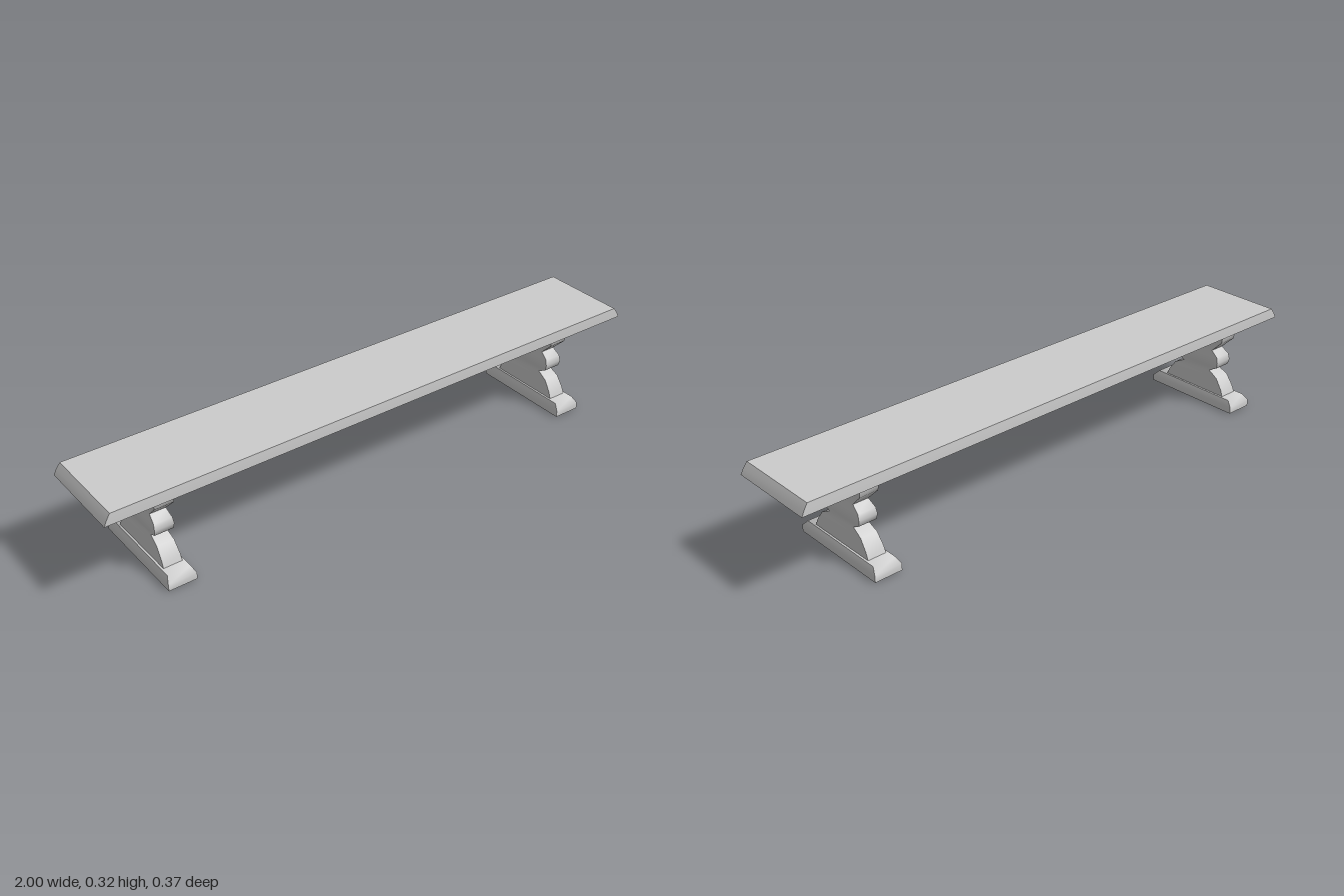
import * as THREE from 'three';
import { toCreasedNormals } from 'three/addons/utils/BufferGeometryUtils.js';

const material = new THREE.MeshStandardMaterial({ color: 0xcccccc });

// Stack of rectangular sections, each [y, half width x, half depth z], closed at both ends
function stack(name, sections, crease) {
  const pos = [], index = [];
  for (const [y, x, z] of sections) pos.push(-x, y, z, x, y, z, x, y, -z, -x, y, -z);
  for (let s = 0; s < sections.length - 1; s++) {
    for (let i = 0; i < 4; i++) {
      const a = s * 4 + i, b = s * 4 + (i + 1) % 4;
      index.push(a, b, b + 4, a, b + 4, a + 4);
    }
  }
  const t = (sections.length - 1) * 4;
  index.push(0, 2, 1, 0, 3, 2, t, t + 1, t + 2, t, t + 2, t + 3);
  const geometry = new THREE.BufferGeometry();
  geometry.setAttribute('position', new THREE.Float32BufferAttribute(pos, 3));
  geometry.setIndex(index);
  const mesh = new THREE.Mesh(toCreasedNormals(geometry, crease), material);
  mesh.name = name;
  return mesh;
}

// Trestle leg: bevelled foot with a waisted, bulging pedestal
function createLeg(name, x) {
  const leg = new THREE.Group();
  leg.name = name;
  leg.add(
    stack('foot', [
      [0, 0.048, 0.185], [0.023, 0.048, 0.185], [0.042, 0.039, 0.166],
    ], 0.9),
    stack('pedestal', [
      [0.042, 0.032, 0.132], [0.064, 0.031, 0.123], [0.1, 0.029, 0.098],
      [0.12, 0.026, 0.06], [0.14, 0.031, 0.096], [0.16, 0.033, 0.101],
      [0.18, 0.031, 0.096], [0.2, 0.027, 0.068], [0.243, 0.032, 0.112],
      [0.265, 0.033, 0.117], [0.29, 0.03, 0.117],
    ], 0.9),
  );
  leg.position.x = x;
  return leg;
}

export function createModel() {
  const bench = new THREE.Group();
  bench.name = 'bench';

  // Long plank with sloping edges
  bench.add(stack('seat', [
    [0.288, 1, 0.155], [0.306, 0.991, 0.154], [0.325, 0.978, 0.152],
  ], 0.5));

  bench.add(createLeg('rightLeg', -0.793), createLeg('leftLeg', 0.753));
  return bench;
}
